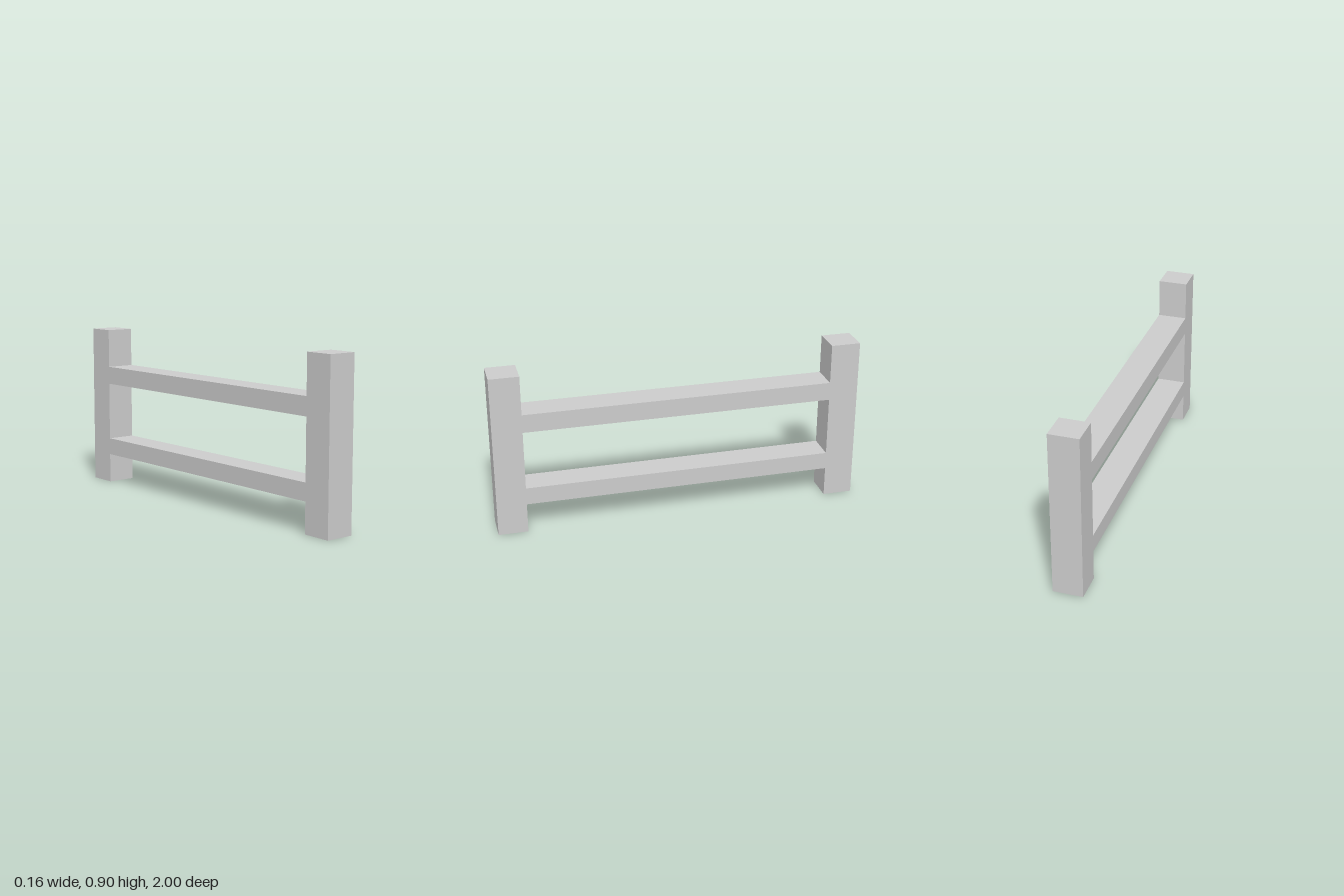
import * as THREE from 'three';

const HALF_LENGTH = 1, POST_INNER = 0.84, HEIGHT = 0.9, WIDTH = 0.16;
const LOWER = [0.165, 0.26], UPPER = [0.585, 0.685]; // rail bottom and top heights

// Drop the triangles lying on the ground, leaving the hollow posts open below
function openBottom(geometry) {
  const p = geometry.attributes.position;
  const kept = [];
  for (let i = 0; i < p.count; i += 3) {
    const onGround = [0, 1, 2].every((k) => Math.abs(p.getY(i + k)) < 1e-5);
    if (!onGround) kept.push(i, i + 1, i + 2);
  }
  geometry.clearGroups();
  geometry.setIndex(kept);
  return geometry;
}

export function createModel() {
  const group = new THREE.Group();
  group.name = 'fence';

  // Side outline: two posts joined by two rails in one continuous shell
  const half = [
    [POST_INNER, LOWER[0]], [POST_INNER, 0], [HALF_LENGTH, 0],
    [HALF_LENGTH, HEIGHT], [POST_INNER, HEIGHT], [POST_INNER, UPPER[1]],
  ];
  const mirrored = half.map(([z, y]) => [-z, y]).reverse();
  const toPoints = (list) => list.map(([z, y]) => new THREE.Vector2(z, y));
  const outline = new THREE.Shape(toPoints([...half, ...mirrored]));

  // Gap between the rails
  outline.holes.push(new THREE.Path(toPoints([
    [-POST_INNER, LOWER[1]], [-POST_INNER, UPPER[0]],
    [POST_INNER, UPPER[0]], [POST_INNER, LOWER[1]],
  ])));

  const geometry = new THREE.ExtrudeGeometry(outline, { depth: WIDTH, bevelEnabled: false });
  geometry.translate(0, 0, -WIDTH / 2);
  geometry.rotateY(-Math.PI / 2);

  const material = new THREE.MeshStandardMaterial({
    color: 0xcccccc, flatShading: true, side: THREE.DoubleSide,
  });
  const frame = new THREE.Mesh(openBottom(geometry), material);
  frame.name = 'postsAndRails';
  group.add(frame);
  return group;
}
